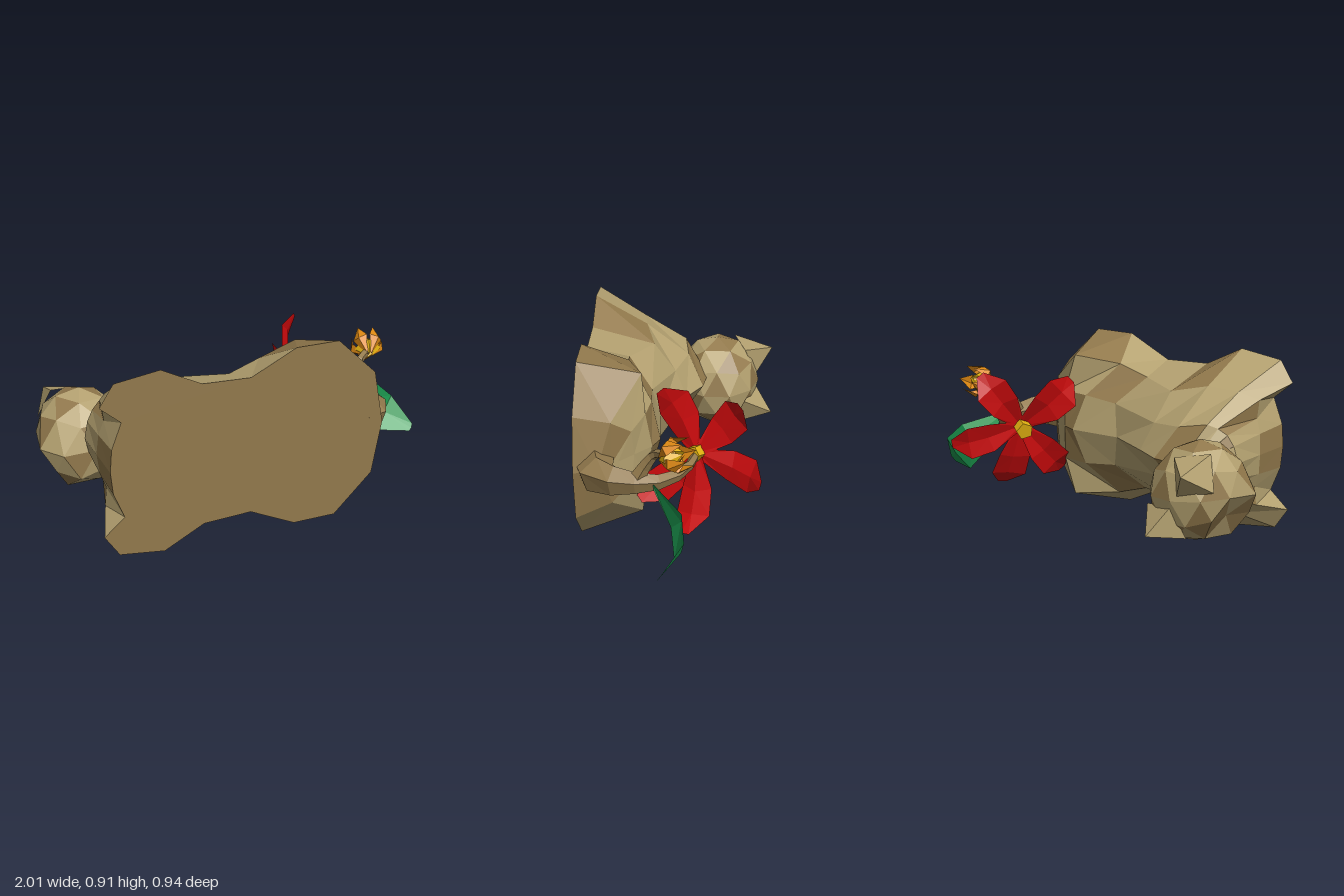
import * as THREE from 'three';

const flat = (name, color, side = THREE.FrontSide) => {
  const m = new THREE.MeshStandardMaterial({ color, side });
  m.name = name;
  m.flatShading = true;
  return m;
};
const V = (x, y, z) => new THREE.Vector3(x, y, z);

export function createModel() {
  const model = new THREE.Group();
  const tan = flat('light tan fur', 0xb4a170);
  const brown = flat('brown fur', 0x92794c);
  const red = flat('red petal', 0xcc0a0c, THREE.DoubleSide);
  const green = flat('green leaf', 0x1c9a50, THREE.DoubleSide);
  const orange = flat('orange petal', 0xe08a14, THREE.DoubleSide);
  const yellow = flat('yellow centre', 0xe0b010, THREE.DoubleSide);

  const add = (parent, name, geometry, material) => {
    const mesh = new THREE.Mesh(geometry, material);
    mesh.name = name;
    parent.add(mesh);
    return mesh;
  };
  const fromTriangles = (points) => {
    const g = new THREE.BufferGeometry().setFromPoints(points);
    g.computeVertexNormals();
    return g;
  };

  // Body: half columns from chest to rump, each [x, half width, z]
  // running from the flat base over the flank to the spine
  const midY = 0.457;
  const columns = [
    [[-.84, 0, .47], [-.835, 0, .26], [-.83, 0, .07], [-.72, 0, -.1]],
    [[-.83, .11, .47], [-.825, .1, .27], [-.81, .08, .06], [-.71, 0, -.1]],
    [[-.78, .235, .47], [-.80, .17, .28], [-.78, .13, .05], [-.70, 0, -.1]],
    [[-.88, .32, .47], [-.81, .26, .28], [-.74, .16, .03], [-.68, 0, -.1]],
    [[-.81, .425, .47], [-.73, .30, .22], [-.70, .18, 0], [-.62, 0, -.12]],
    [[-.59, .455, .47], [-.57, .31, .2], [-.55, .15, -.02], [-.47, 0, -.1]],
    [[-.39, .355, .47], [-.39, .27, .15], [-.37, .13, .04], [-.33, 0, -.02]],
    [[-.15, .345, .47], [-.17, .29, .26], [-.06, .16, .14], [-.1, 0, .1]],
    [[.08, .455, .47], [-.01, .34, .25], [.12, .18, .13], [.17, 0, .085]],
    [[.30, .455, .47], [.22, .37, .17], [.27, .18, .15], [.25, 0, .12]],
    [[.50, .265, .47], [.44, .21, .3], [.36, .13, .21], [.34, 0, .2]],
    [[.55, 0, .47], [.51, 0, .36], [.45, 0, .3], [.42, 0, .27]]
  ];
  // Coat pattern per row, chest to rump: b marks a brown patch
  const coat = {
    1: ['b....b..bbb', '..b....b..b', '.b..b...b..'],
    '-1': ['b....b....b', '..b....b..b', '.b..b...b..']
  };
  const body = new THREE.Group();
  body.name = 'body';
  model.add(body);
  const skin = { light: [], dark: [] };
  for (const s of [1, -1]) {
    const p = (i, j) => V(columns[i][j][0], midY + s * columns[i][j][1], columns[i][j][2]);
    for (let i = 0; i < columns.length - 1; i++) {
      for (let j = 0; j < 3; j++) {
        const a = p(i, j), b = p(i + 1, j), c = p(i + 1, j + 1), d = p(i, j + 1);
        const patch = coat[s][j][i] === 'b' ? skin.dark : skin.light;
        if (s > 0) patch.push(a, b, c, a, c, d);
        else patch.push(a, c, b, a, d, c);
      }
    }
  }
  add(body, 'lightCoat', fromTriangles(skin.light), tan);
  add(body, 'brownPatches', fromTriangles(skin.dark), brown);
  const rim = columns.map(c => new THREE.Vector2(c[0][0], midY + c[0][1]));
  const mirrored = columns.slice(1, -1).reverse().map(c => new THREE.Vector2(c[0][0], midY - c[0][1]));
  add(body, 'base', new THREE.ShapeGeometry(new THREE.Shape([...rim, ...mirrored])).translate(0, 0, .47), brown);

  // Head, turned towards one side, with a blunt face and heavy chin
  const head = new THREE.Group();
  head.name = 'head';
  head.position.set(-.765, .375, -.17);
  head.quaternion.setFromRotationMatrix(new THREE.Matrix4().makeBasis(
    V(-.51, .86, 0).normalize(), V(0, 0, -1), V(-.86, -.51, 0).normalize()));
  model.add(head);
  const skull = new THREE.IcosahedronGeometry(1, 1);
  const sp = skull.attributes.position;
  for (let i = 0; i < sp.count; i++) {
    const x = sp.getX(i), y = sp.getY(i), z = sp.getZ(i);
    const chin = z > .3 && y < -.1 && Math.abs(x) < .6 ? .035 : 0;
    sp.setXYZ(i, x * .25, y * .225 - chin, Math.min(z * .22, .18) + chin);
  }
  for (let f = 0; f < sp.count / 3; f++) skull.addGroup(f * 3, 3, f % 3 === 0 ? 1 : 0);
  add(head, 'skull', skull, [tan, brown]);
  // Ears: broad four-sided pyramids flowing into the skull
  for (const s of [-1, 1]) {
    const tip = V(s * .18, .3, .015);
    const ring = [V(s * .245, .09, 0), V(s * .14, .15, .13), V(s * .03, .21, .01), V(s * .14, .15, -.12)];
    const ear = [];
    ring.forEach((p, i) => {
      const q = ring[(i + 1) % 4];
      if (s > 0) ear.push(tip, q, p);
      else ear.push(tip, p, q);
    });
    add(head, 'ear', fromTriangles(ear), tan);
  }

  // Tapered tubes for the tail and the bud stem
  const taper = (name, points, radii) => {
    const path = new THREE.CatmullRomCurve3(points.map(p => V(...p)));
    const n = 7, sides = 5;
    const g = new THREE.TubeGeometry(path, n, 1, sides);
    const pos = g.attributes.position, v = V(0, 0, 0);
    for (let i = 0; i <= n; i++) {
      const centre = path.getPointAt(i / n);
      const f = i / n * (radii.length - 1), k = Math.min(Math.floor(f), radii.length - 2);
      const r = THREE.MathUtils.lerp(radii[k], radii[k + 1], f - k);
      for (let j = 0; j <= sides; j++) {
        const q = i * (sides + 1) + j;
        v.fromBufferAttribute(pos, q).sub(centre).multiplyScalar(r).add(centre);
        pos.setXYZ(q, v.x, v.y, v.z);
      }
    }
    add(model, name, g, brown);
  };
  taper('tail', [[.45, .457, .38], [.56, .457, .35], [.625, .46, .19], [.605, .46, .05], [.51, .47, -.05], [.37, .485, -.1]],
    [.1, .085, .055, .035, .025, .02]);
  taper('budStem', [[.62, .47, .17], [.615, .54, .13], [.63, .61, .08], [.7, .64, .03]], [.04, .03, .022, .02]);

  // Open red flower at the tail end; petals arch forward and curl back at the tip
  const flower = new THREE.Group();
  flower.name = 'openFlower';
  model.add(flower);
  const heart = V(.36, .485, -.1), facing = V(-.83, -.19, -.52).normalize();
  const petal = (tip, width) => {
    const along = tip.clone().sub(heart);
    const side = facing.clone().cross(along).normalize();
    const at = (t, s, h) => heart.clone().addScaledVector(along, t).addScaledVector(side, s * width).addScaledVector(facing, h);
    const tris = [];
    for (const s of [-1, 1]) {
      const rows = [[at(0, 0, 0), at(0, s * .12, 0)], [at(.5, 0, .035), at(.45, s * .43, .05)],
        [at(.78, 0, .035), at(.78, s * .48, .05)], [at(1, 0, 0), at(1, s * .12, 0)]];
      for (let i = 0; i < 3; i++) {
        const [a, b] = rows[i], [d, c] = rows[i + 1];
        if (s > 0) tris.push(a, b, c, a, c, d);
        else tris.push(a, c, b, a, d, c);
      }
    }
    return fromTriangles(tris);
  };
  for (const [x, y, z, width] of [[.45, .77, -.3, .18], [.56, .42, -.4, .18], [.54, .145, -.05, .19], [.32, .205, .18, .18], [.18, .72, .085, .22]])
    add(flower, 'petal', petal(V(x, y, z), width), red);
  const up = V(0, 1, 0);
  const core = add(flower, 'stamen', new THREE.CylinderGeometry(.045, .038, .11, 5), yellow);
  core.position.copy(heart).addScaledVector(facing, .015);
  core.quaternion.setFromUnitVectors(up, facing);

  // Half-open bud: cupped orange petals around closed yellow ones
  const bud = new THREE.Group();
  bud.name = 'bud';
  bud.position.set(.705, .625, .055);
  bud.quaternion.setFromUnitVectors(up, V(.25, .35, -.8).normalize());
  model.add(bud);
  const whorl = (name, count, turn, r, h, close, spread, material) => {
    for (let i = 0; i < count; i++) {
      const a = turn + i / count * Math.PI * 2, half = Math.PI / count * spread;
      const p = (da, rad, y) => V(Math.cos(a + da) * rad, y, Math.sin(a + da) * rad);
      const foot = p(0, .012, 0), l = p(-half, r * .9, h * .5), m = p(0, r, h * .4), n = p(half, r * .9, h * .5);
      const tip = p(0, r * close, h);
      add(bud, name, fromTriangles([foot, l, m, foot, m, n, l, tip, m, m, tip, n]), material);
    }
  };
  whorl('innerPetal', 4, .3, .066, .125, .15, 1, yellow);
  whorl('outerPetal', 5, 0, .088, .155, .75, .85, orange);

  // Leaf dished along its midrib and curling forward at the tip
  const rib = [V(.65, .465, .09), V(.765, .34, -.045), V(.87, .24, -.05), V(.985, .165, .05)];
  const edges = [
    [V(.67, .47, .08), V(.82, .41, -.05), V(.92, .32, -.065), V(.995, .185, .04)],
    [V(.66, .44, .085), V(.70, .27, .005), V(.80, .16, -.015), V(.97, .152, .055)]
  ];
  const leaf = [];
  edges.forEach((e, k) => {
    for (let i = 0; i < 3; i++) {
      const a = rib[i], b = rib[i + 1], c = e[i + 1], d = e[i];
      if (k) leaf.push(a, d, c, a, c, b);
      else leaf.push(a, b, c, a, c, d);
    }
  });
  add(model, 'leaf', fromTriangles(leaf), green);

  return model;
}
